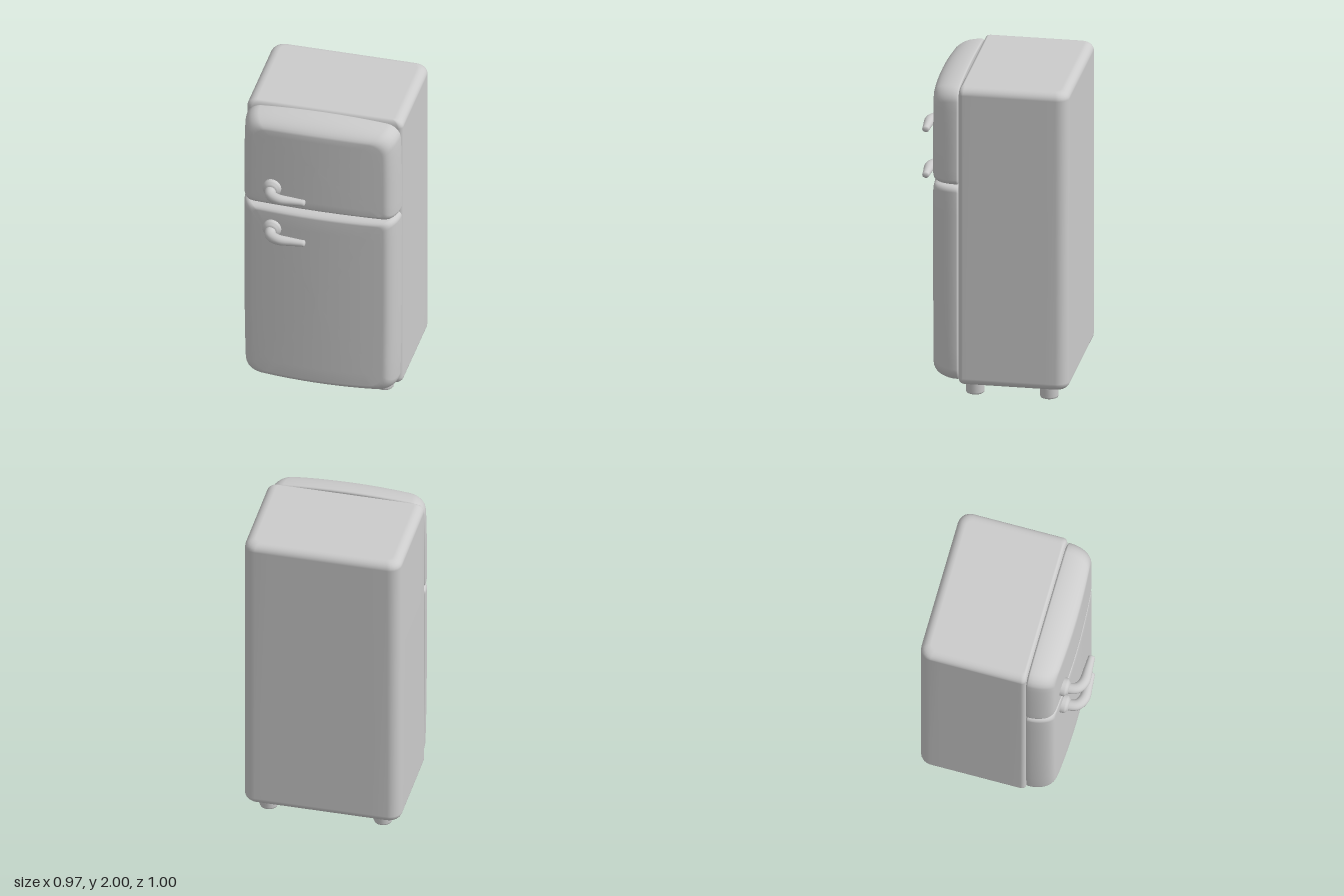
import * as THREE from 'three';

const material = new THREE.MeshStandardMaterial({ color: 0xcccccc, roughness: 0.6 });

// Counter-clockwise rounded rectangle with subdivided straight sides
function outline(halfW, v0, v1, rBottom, rTop, steps = 8) {
  const pts = [];
  const corners = [
    [halfW, v0, rBottom, -1, 1, -90], [halfW, v1, rTop, -1, -1, 0],
    [-halfW, v1, rTop, 1, -1, 90], [-halfW, v0, rBottom, 1, 1, 180],
  ];
  const arcs = corners.map(([x, y, r, sx, sy, start]) => {
    const arc = [];
    for (let i = 0; i <= 5; i++) {
      const a = THREE.MathUtils.degToRad(start + i * 18);
      arc.push(new THREE.Vector2(x + sx * r + r * Math.cos(a), y + sy * r + r * Math.sin(a)));
    }
    return arc;
  });
  arcs.forEach((arc, k) => {
    pts.push(...arc);
    const a = arc[5], b = arcs[(k + 1) % 4][0];
    for (let i = 1; i < steps; i++) pts.push(a.clone().lerp(b, i / steps));
  });
  return pts;
}

// Skin through matching rings, closed by a fan at each end
function loft(rings) {
  const n = rings[0].length, pos = [], index = [];
  rings.forEach((ring) => ring.forEach((p) => pos.push(p.x, p.y, p.z)));
  for (let r = 0; r < rings.length - 1; r++) {
    for (let i = 0; i < n; i++) {
      const a = r * n + i, b = r * n + (i + 1) % n;
      index.push(a, b, b + n, a, b + n, a + n);
    }
  }
  [0, rings.length - 1].forEach((r) => {
    const c = new THREE.Vector3();
    rings[r].forEach((p) => c.addScaledVector(p, 1 / n));
    const ci = pos.length / 3;
    pos.push(c.x, c.y, c.z);
    for (let i = 0; i < n; i++) {
      const a = r * n + i, b = r * n + (i + 1) % n;
      index.push(...(r === 0 ? [ci, b, a] : [ci, a, b]));
    }
  });
  const g = new THREE.BufferGeometry();
  g.setAttribute('position', new THREE.Float32BufferAttribute(pos, 3));
  g.setIndex(index);
  g.computeVertexNormals();
  return g;
}

// Cabinet: wide rounding at the back, tight rounding at the front
function cabinetGeometry() {
  const rings = [], N = 6;
  const ring = (y, k) => outline(0.485 - 0.06 * k, -0.17 + 0.025 * k, 0.5 - 0.055 * k,
    0.03 - 0.015 * k, 0.075 - 0.04 * k).map((p) => new THREE.Vector3(p.x, y, -p.y));
  for (let i = 0; i <= N; i++) {
    const a = (i / N) * Math.PI / 2;
    rings.push(ring(0.08 + 0.05 * (1 - Math.sin(a)), 1 - Math.cos(a)));
  }
  rings.reverse();
  // rings now run from full width to the bottom face; flip to go upward
  const bottom = rings.slice().reverse().map((_, i) => {
    const a = (i / N) * Math.PI / 2;
    return ring(0.13 - 0.05 * Math.cos(a), 1 - Math.sin(a));
  });
  const top = bottom.map((_, i) => {
    const a = (i / N) * Math.PI / 2;
    return ring(1.95 + 0.05 * Math.sin(a), 1 - Math.cos(a));
  });
  return loft([...bottom, ...top]);
}

// Pillowed door; outer end is softly arched, seam end is tight
function doorGeometry(y0, y1, upper) {
  const rings = [], N = 9, mid = (y0 + y1) / 2;
  const bulge = (x) => 0.02 * (1 - Math.min(1, (x / 0.4) ** 2));
  const ring = (z, inset, k) => {
    const outer = 0.075 * k + inset, seam = 0.035 * k * k + inset;
    const pts = outline(0.485 - 0.08 * k - inset,
      y0 + (upper ? seam : outer), y1 - (upper ? outer : seam),
      upper ? 0.035 : 0.08, upper ? 0.08 : 0.035);
    return pts.map((p) => {
      // distance from the seam, 0 to 1
      const t = THREE.MathUtils.clamp(upper ? (p.y - y0) / (y1 - y0) : (y1 - p.y) / (y1 - y0), 0, 1);
      const arch = 0.02 * (p.x / 0.45) ** 2 * t ** 3;
      const x = p.x * (1 - 0.025 * t ** 4);
      return new THREE.Vector3(x, p.y + (upper ? -arch : arch), z + bulge(x) * k);
    });
  };
  rings.push(ring(0.17, 0.012, 0), ring(0.174, 0.003, 0));
  for (let i = 0; i <= N; i++) {
    const a = (i / N) * Math.PI / 2;
    rings.push(ring(0.182 + 0.153 * Math.sin(a), 0, 1 - Math.cos(a)));
  }
  // crowned front face
  const edge = rings[rings.length - 1];
  [0.85, 0.65, 0.45, 0.25, 0.05].forEach((s) => {
    rings.push(edge.map((p) => new THREE.Vector3(p.x * s, mid + (p.y - mid) * s, 0.335 + bulge(p.x * s))));
  });
  return loft(rings);
}

// Bent, tapering lever
function leverGeometry() {
  const path = new THREE.CatmullRomCurve3([
    [-0.278, 0.34], [-0.278, 0.395], [-0.262, 0.435], [-0.215, 0.462], [-0.13, 0.464], [-0.052, 0.463],
  ].map(([x, z]) => new THREE.Vector3(x, 0, z)));
  const up = new THREE.Vector3(0, 1, 0), rings = [], N = 24;
  const ring = (t, r, push = 0) => {
    const p = path.getPointAt(t), dir = path.getTangentAt(t);
    const side = dir.clone().cross(up);
    return Array.from({ length: 16 }, (_, i) => {
      const a = (i / 16) * Math.PI * 2;
      return p.clone().addScaledVector(up, Math.cos(a) * r * 0.9)
        .addScaledVector(side, Math.sin(a) * r).addScaledVector(dir, push);
    });
  };
  for (let i = 0; i <= N; i++) {
    const t = i / N;
    rings.push(ring(t, 0.034 - 0.013 * THREE.MathUtils.smoothstep(t, 0.4, 1.1)));
  }
  rings.push(ring(1, 0.018, 0.005), ring(1, 0.01, 0.008));
  return loft(rings);
}

export function createModel() {
  const model = new THREE.Group();
  model.name = 'refrigerator';
  const add = (name, geometry, parent = model) => {
    const mesh = new THREE.Mesh(geometry, material);
    mesh.name = name;
    parent.add(mesh);
    return mesh;
  };
  const lathe = (pts, seg) => new THREE.LatheGeometry(pts.map(([x, y]) => new THREE.Vector2(x, y)), seg);

  add('cabinet', cabinetGeometry());
  add('freezerDoor', doorGeometry(1.368, 2.0, true));
  add('mainDoor', doorGeometry(0.08, 1.36, false));

  // Handles: round flange and lever
  const lever = leverGeometry();
  const flange = lathe([[0.057, 0], [0.057, 0.028], [0.053, 0.036], [0.042, 0.043], [0.034, 0.052], [0, 0.052]], 20);
  flange.rotateX(Math.PI / 2);
  [['freezerHandle', 1.515], ['mainHandle', 1.22]].forEach(([name, y]) => {
    const handle = new THREE.Group();
    handle.name = name;
    handle.position.y = y;
    add('flange', flange, handle).position.set(-0.278, 0, 0.337);
    add('lever', lever, handle);
    model.add(handle);
  });

  // Four feet
  const foot = lathe([[0, 0], [0.045, 0], [0.053, 0.004], [0.057, 0.014], [0.057, 0.1]], 20);
  for (const x of [-0.353, 0.353]) {
    for (const z of [0.087, -0.365]) add('foot', foot).position.set(x, 0, z);
  }
  return model;
}
